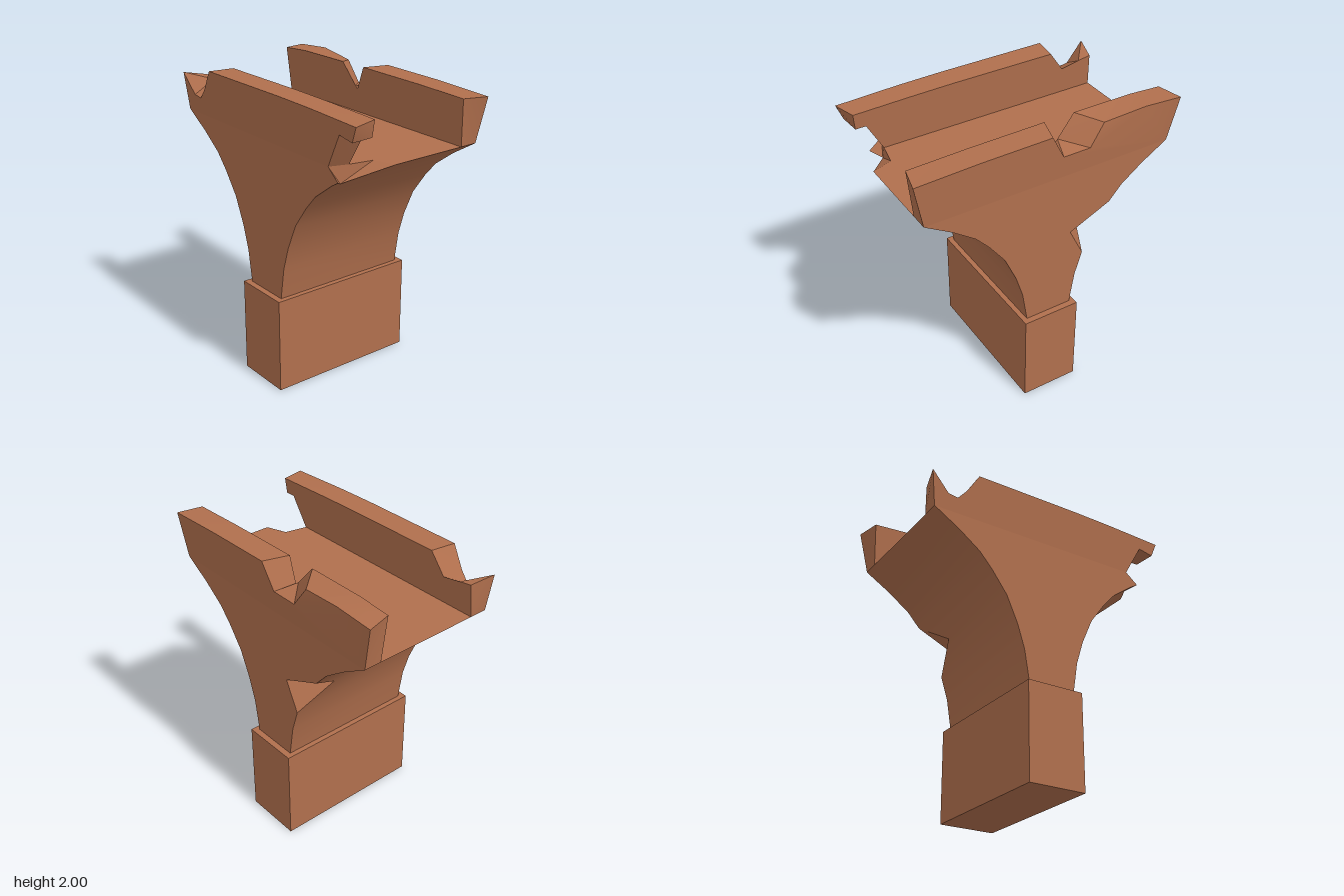
import * as THREE from 'three';
import { toCreasedNormals } from 'three/addons/utils/BufferGeometryUtils.js';

const material = new THREE.MeshStandardMaterial({ color: 0xb06f4d, side: THREE.DoubleSide });
const V = (x, y, z) => new THREE.Vector3(x, y, z);
const DECK = 1.68, HALF = 0.485, INNER = 0.365;

// Collects flat polygons, each turned to face its outward hint
class Faces {
  constructor() { this.pos = []; }
  add(pts, out) {
    const n = V(0, 0, 0);
    pts.forEach((p, i) => n.add(p.clone().cross(pts[(i + 1) % pts.length])));
    const a = [Math.abs(n.x), Math.abs(n.y), Math.abs(n.z)];
    const drop = a.indexOf(Math.max(...a));
    const flat = pts.map(p => drop === 0 ? new THREE.Vector2(p.y, p.z)
      : drop === 1 ? new THREE.Vector2(p.z, p.x) : new THREE.Vector2(p.x, p.y));
    for (const t of THREE.ShapeUtils.triangulateShape(flat, [])) {
      const [p, q, r] = t.map(i => pts[i]);
      const normal = q.clone().sub(p).cross(r.clone().sub(p));
      for (const v of normal.dot(out) < 0 ? [p, r, q] : [p, q, r]) this.pos.push(v.x, v.y, v.z);
    }
  }
  mesh(name) {
    const g = new THREE.BufferGeometry();
    g.setAttribute('position', new THREE.Float32BufferAttribute(this.pos, 3));
    const m = new THREE.Mesh(toCreasedNormals(g, 0.45), material);
    m.name = name;
    return m;
  }
}

// Flaring stem with the deck on top and two chipped corners
function stem() {
  const f = new Faces();
  const prof = [[0.165, 0.65], [0.2, 0.87], [0.25, 1.03], [0.33, 1.21],
    [0.44, 1.36], [0.53, 1.46], [0.68, 1.57], [0.86, DECK]];
  const last = prof.length - 1;
  const at = (side, i, z) => V(side * prof[i][0], prof[i][1], z);

  // Curved undersides, shortened where a chip bites in
  for (let i = 0; i < last; i++) {
    const backZ = k => (k === 3 ? -0.25 : -HALF);
    const frontZ = k => (i < last - 1 ? HALF : k === last ? 0.16 : 0.42);
    f.add([at(-1, i, HALF), at(-1, i + 1, HALF), at(-1, i + 1, backZ(i + 1)), at(-1, i, backZ(i))], V(-1, -0.5, 0));
    f.add([at(1, i, frontZ(i)), at(1, i + 1, frontZ(i + 1)), at(1, i + 1, -HALF), at(1, i, -HALF)], V(1, -0.5, 0));
  }

  // Chip at the deck's front corner
  const C = V(0.86, DECK, 0.16), P = V(0.72, DECK, 0.21), Q = V(0.69, DECK, INNER);
  const R = V(0.65, DECK, HALF), E = V(0.74, 1.607, HALF), D = at(1, 6, 0.42);
  f.add([D, E, at(1, 6, HALF)], V(1, -1, 0));
  [[C, P], [P, Q], [Q, R], [R, E]].forEach(([a, b]) => f.add([a, b, D], V(1, 0.3, 1)));

  // Chip in the rear edge of the underside
  const T = V(-0.15, 1.23, -HALF), N = at(-1, 3, -0.25);
  f.add([at(-1, 2, -HALF), N, T], V(-0.6, 0.5, -0.6));
  f.add([at(-1, 4, -HALF), N, T], V(0, -1, -0.6));

  // Front, back and deck surfaces
  const all = prof.map((_, i) => i), down = [...all].reverse();
  f.add([...all.slice(0, last).map(i => at(1, i, HALF)), E, R, ...down.map(i => at(-1, i, HALF))], V(0, 0, 1));
  f.add([...all.map(i => at(1, i, -HALF)),
    ...down.map(i => (i === 3 ? T : at(-1, i, -HALF)))], V(0, 0, -1));
  f.add([V(-0.86, DECK, -INNER), V(0.86, DECK, -INNER), C, P, Q, V(-0.86, DECK, INNER)], V(0, 1, 0));
  return f.mesh('pierStem');
}

// Leaning wall: matched outer and inner outlines, right to left over the top
function parapet(name, side, outline) {
  const f = new Faces();
  const lean = y => 0.025 * (y - DECK) / 0.32;
  const outer = outline.map(([[x, y, z]]) => V(x, y, side * (z ?? HALF + lean(y))));
  const inner = outline.map(([o, i]) => i ?? o).map(([x, y]) => V(x, y, side * (INNER - lean(y))));
  f.add(outer, V(0, 0, side));
  f.add(inner, V(0, 0, -side));
  for (let i = 0; i < outline.length - 1; i++) {
    const d = outer[i + 1].clone().sub(outer[i]).add(inner[i + 1]).sub(inner[i]);
    f.add([outer[i], outer[i + 1], inner[i + 1], inner[i]], V(d.y, -d.x, 0));
  }
  return f.mesh(name);
}

export function createModel() {
  const group = new THREE.Group();
  group.name = 'brokenBridgePier';

  // Footing block
  const base = new THREE.Mesh(new THREE.BoxGeometry(0.4, 0.65, 1.054), material);
  base.position.y = 0.325;
  base.name = 'base';
  group.add(base, stem());

  group.add(parapet('frontParapet', 1, [
    [[0.65, DECK], [0.69, DECK]], [[0.77, 1.9], [0.8, 1.88]], [[0.88, 1.88], [0.87, 1.88]],
    [[0.92, 1.98], [0.88, 1.985]], [[0.5, 1.995]], [[0.2, 2]],
    [[-0.555, 2], [-0.53, 2]], [[-0.64, 1.86], [-0.63, 1.86]], [[-0.7, 1.79], [-0.7, 1.873]],
    [[-0.77, 1.8], [-0.76, 1.884]], [[-0.89, 1.93], [-0.85, 1.9]], [[-0.86, DECK]],
  ]));
  group.add(parapet('backParapet', -1, [
    [[0.86, DECK]], [[0.92, 1.98], [0.88, 1.985]], [[0.5, 1.995]],
    [[0.02, 2], [-0.03, 2]], [[-0.07, 1.83], [-0.1, 1.84]], [[-0.26, 1.83], [-0.12, 1.86]],
    [[-0.36, 1.97, 0.487], [-0.24, 2]], [[-0.65, 2]], [[-0.92, 1.98], [-0.88, 1.985]], [[-0.86, DECK]],
  ]));
  return group;
}
